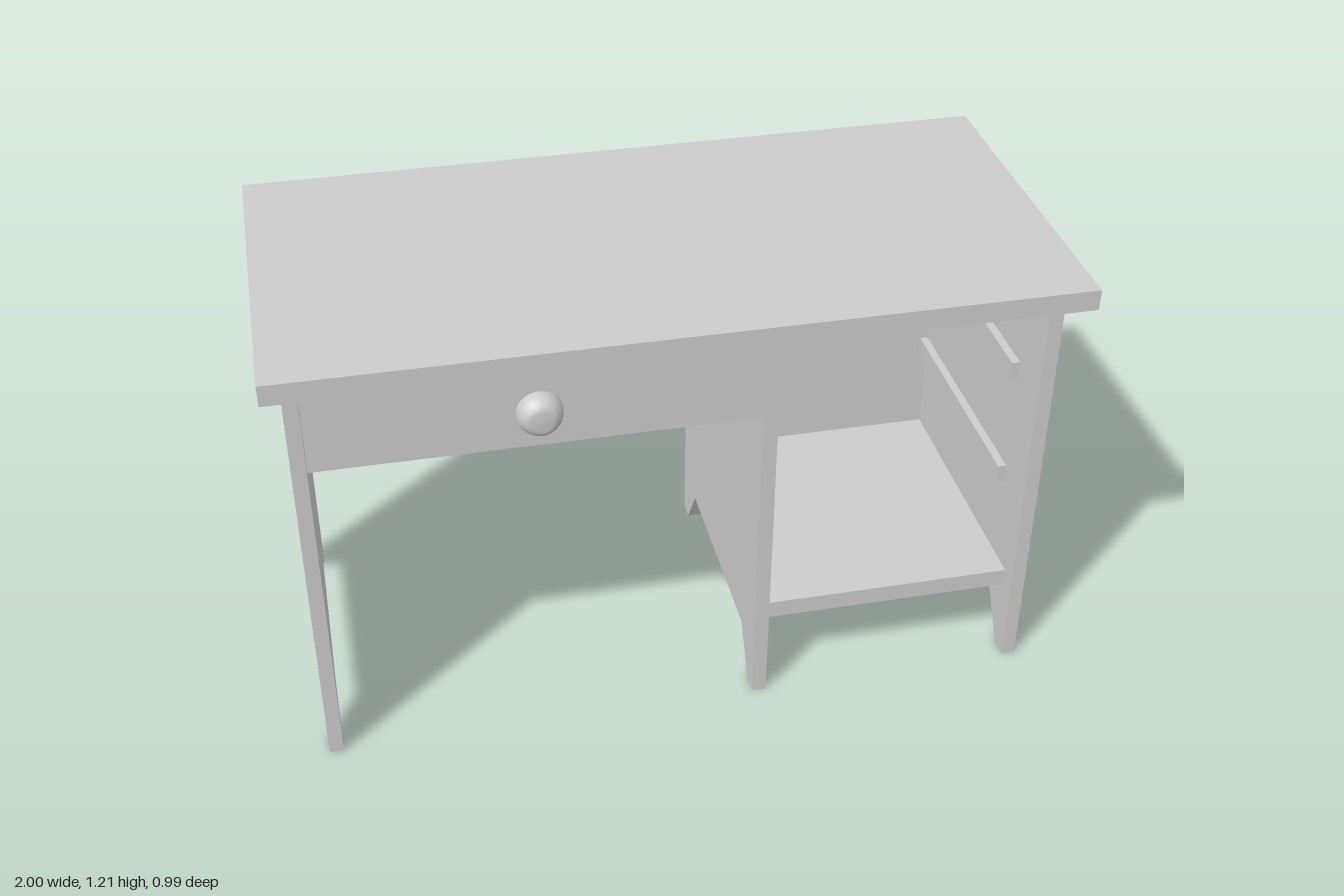
import * as THREE from 'three';

const material = new THREE.MeshStandardMaterial({ color: 0xcccccc });

// Box given by its min and max on each axis
function box(name, [x0, x1], [y0, y1], [z0, z1]) {
  const mesh = new THREE.Mesh(new THREE.BoxGeometry(x1 - x0, y1 - y0, z1 - z0), material);
  mesh.name = name;
  mesh.position.set((x0 + x1) / 2, (y0 + y1) / 2, (z0 + z1) / 2);
  return mesh;
}

// Upright panel with a cut-out at the bottom that leaves two tapered feet
function sidePanel(name, x0, x1) {
  const outline = [
    [0.413, 0], [0.36, 0], [0.278, 0.133], [-0.287, 0.133],
    [-0.375, 0], [-0.425, 0], [-0.425, 1.15], [0.413, 1.15],
  ].map(([z, y]) => new THREE.Vector2(-z, y));
  const geometry = new THREE.ExtrudeGeometry(new THREE.Shape(outline), { depth: x1 - x0, bevelEnabled: false });
  geometry.rotateY(Math.PI / 2); // shape x becomes -z, depth becomes +x
  const mesh = new THREE.Mesh(geometry, material);
  mesh.name = name;
  mesh.position.x = x0;
  return mesh;
}

// Round knob on a short stem, axis along z
function knob() {
  const group = new THREE.Group();
  group.name = 'drawerKnob';
  const stem = new THREE.Mesh(new THREE.CylinderGeometry(0.029, 0.029, 0.045, 12), material);
  stem.name = 'knobStem';
  stem.rotation.x = Math.PI / 2;
  stem.position.z = 0.0175;
  const back = new THREE.Mesh(new THREE.CircleGeometry(0.057, 32), material);
  back.name = 'knobBack';
  back.rotation.y = Math.PI;
  back.position.z = 0.034;
  const profile = [
    [0.057, 0.034], [0.056, 0.046], [0.053, 0.057], [0.046, 0.069],
    [0.037, 0.077], [0.028, 0.081], [0, 0.082],
  ].map(([r, y]) => new THREE.Vector2(r, y));
  const head = new THREE.Mesh(new THREE.LatheGeometry(profile, 32), material);
  head.name = 'knobHead';
  head.rotation.x = Math.PI / 2;
  group.add(stem, back, head);
  group.position.set(-0.365, 1.027, 0.413);
  return group;
}

export function createModel() {
  const desk = new THREE.Group();
  desk.name = 'desk';

  desk.add(
    box('tabletop', [-1, 1], [1.15, 1.205], [-0.49, 0.477]),
    sidePanel('rightSidePanel', -0.952, -0.915),
    sidePanel('middlePanel', 0.19, 0.228),
    sidePanel('leftSidePanel', 0.907, 0.944),
    box('kneeholeBackRail', [-0.915, 0.19], [0.907, 1.15], [-0.42, -0.37]),
  );

  // Wide drawer over the kneehole
  const drawer = new THREE.Group();
  drawer.name = 'drawer';
  drawer.add(
    box('drawerFront', [-0.914, 0.189], [0.906, 1.147], [0.365, 0.412]),
    box('drawerBottom', [-0.905, 0.18], [0.907, 0.93], [-0.32, 0.365]),
    box('drawerBack', [-0.905, 0.18], [0.93, 1.12], [-0.32, -0.285]),
    box('drawerRightSide', [-0.905, -0.87], [0.93, 1.12], [-0.285, 0.365]),
    box('drawerLeftSide', [0.145, 0.18], [0.93, 1.12], [-0.285, 0.365]),
    knob(),
  );
  desk.add(drawer);

  // Open cabinet with a bottom shelf and two pairs of runners
  const cabinet = new THREE.Group();
  cabinet.name = 'cabinet';
  cabinet.add(
    box('cabinetBack', [0.228, 0.907], [0.165, 1.15], [-0.42, -0.37]),
    box('cabinetShelf', [0.228, 0.907], [0.21, 0.26], [-0.37, 0.363]),
  );
  for (const y of [0.5, 0.83]) {
    cabinet.add(
      box('runnerRight', [0.228, 0.248], [y, y + 0.055], [-0.37, 0.28]),
      box('runnerLeft', [0.885, 0.907], [y, y + 0.055], [-0.37, 0.28]),
    );
  }
  desk.add(cabinet);

  return desk;
}
